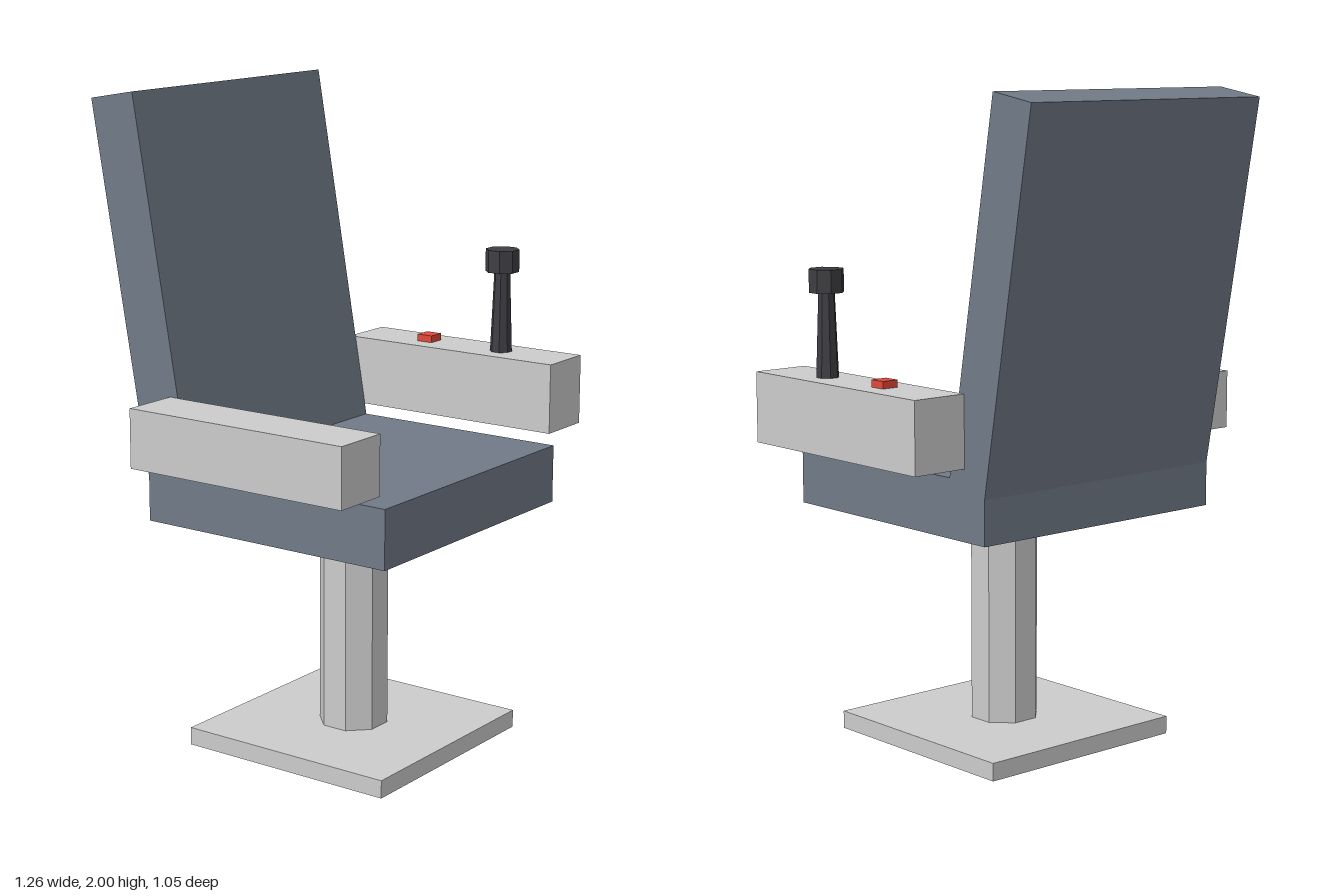
import * as THREE from 'three';

const material = (color) => new THREE.MeshStandardMaterial({ color, flatShading: true });

export function createModel() {
  const chair = new THREE.Group();
  chair.name = 'controlChair';
  const grey = material(0xcccccc);
  const upholstery = material(0x717a87);
  const dark = material(0x3e3e43);
  const red = material(0xe0483a);

  const add = (name, geometry, mat, x = 0, y = 0, z = 0) => {
    const mesh = new THREE.Mesh(geometry, mat);
    mesh.name = name;
    mesh.position.set(x, y, z);
    chair.add(mesh);
    return mesh;
  };

  // Box given by its lower and upper corners
  const box = (name, mat, [x0, y0, z0], [x1, y1, z1]) =>
    add(name, new THREE.BoxGeometry(x1 - x0, y1 - y0, z1 - z0), mat,
      (x0 + x1) / 2, (y0 + y1) / 2, (z0 + z1) / 2);

  // Eight-sided upright with flats facing the axes; radii measured to the flats
  const octagon = (name, mat, rTop, rBottom, y0, y1, x, z) => {
    const k = 1 / Math.cos(Math.PI / 8);
    const geometry = new THREE.CylinderGeometry(rTop * k, rBottom * k, y1 - y0, 8);
    geometry.rotateY(Math.PI / 8);
    return add(name, geometry, mat, x, (y0 + y1) / 2, z);
  };

  // Pedestal
  box('basePlate', grey, [-0.358, 0, -0.26], [0.358, 0.055, 0.456]);
  octagon('post', grey, 0.099, 0.099, 0.055, 0.725, 0, 0.098);

  // Seat and reclined back: one side profile (z, y) extruded across the width
  const profile = new THREE.Shape([
    [0.527, 0.725], [0.527, 0.903], [-0.178, 0.903], [-0.37, 2],
    [-0.527, 1.973], [-0.331, 0.86], [-0.331, 0.725],
  ].map(([z, y]) => new THREE.Vector2(z, y)));
  const width = 0.898;
  const cushion = new THREE.ExtrudeGeometry(profile, { depth: width, bevelEnabled: false });
  cushion.translate(0, 0, -width / 2).rotateY(-Math.PI / 2);
  add('seatAndBack', cushion, upholstery);

  // Armrests, the left one taller to house the controls
  box('rightArmrest', grey, [-0.629, 0.937, -0.244], [-0.449, 1.116, 0.51]);
  box('leftArmrest', grey, [0.449, 0.937, -0.244], [0.629, 1.153, 0.51]);

  // Controls
  octagon('joystickShaft', dark, 0.023, 0.032, 1.153, 1.405, 0.538, 0.275);
  octagon('joystickKnob', dark, 0.049, 0.049, 1.405, 1.475, 0.538, 0.275);
  box('button', red, [0.511, 1.153, -0.022], [0.565, 1.175, 0.031]);

  return chair;
}
